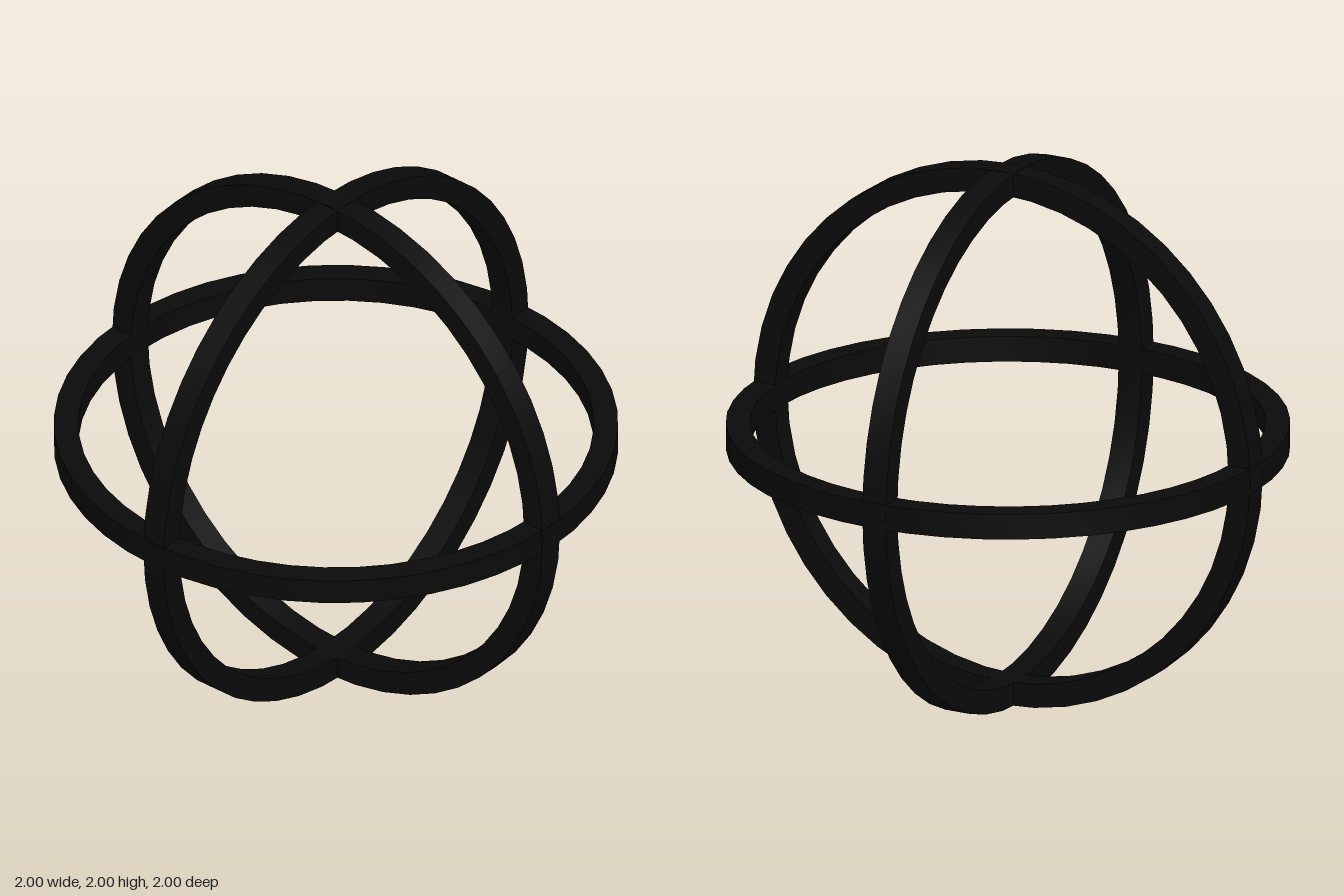
import * as THREE from 'three';
import { toCreasedNormals } from 'three/addons/utils/BufferGeometryUtils.js';

const OUTER = 1, INNER = 0.913, HALF_WIDTH = 0.047, SEGMENTS = 48;

export function createModel() {
  const model = new THREE.Group();
  model.name = 'ringSphere';
  const material = new THREE.MeshStandardMaterial({ color: 0x0a0a0a });

  // Closed rectangular section swept around y, with crisp edges
  const section = [
    [INNER, -HALF_WIDTH], [OUTER, -HALF_WIDTH], [OUTER, HALF_WIDTH],
    [INNER, HALF_WIDTH], [INNER, -HALF_WIDTH],
  ].map(([x, y]) => new THREE.Vector2(x, y));
  const band = toCreasedNormals(new THREE.LatheGeometry(section, SEGMENTS), Math.PI / 6);

  // Three interlocking rings, one in each main plane
  const rings = [
    ['horizontalRing', 0, 0],
    ['frontRing', Math.PI / 2, 0],
    ['sideRing', 0, Math.PI / 2],
  ];
  for (const [name, rx, rz] of rings) {
    const ring = new THREE.Mesh(band, material);
    ring.name = name;
    ring.rotation.set(rx, 0, rz);
    ring.position.y = OUTER;
    model.add(ring);
  }
  return model;
}
